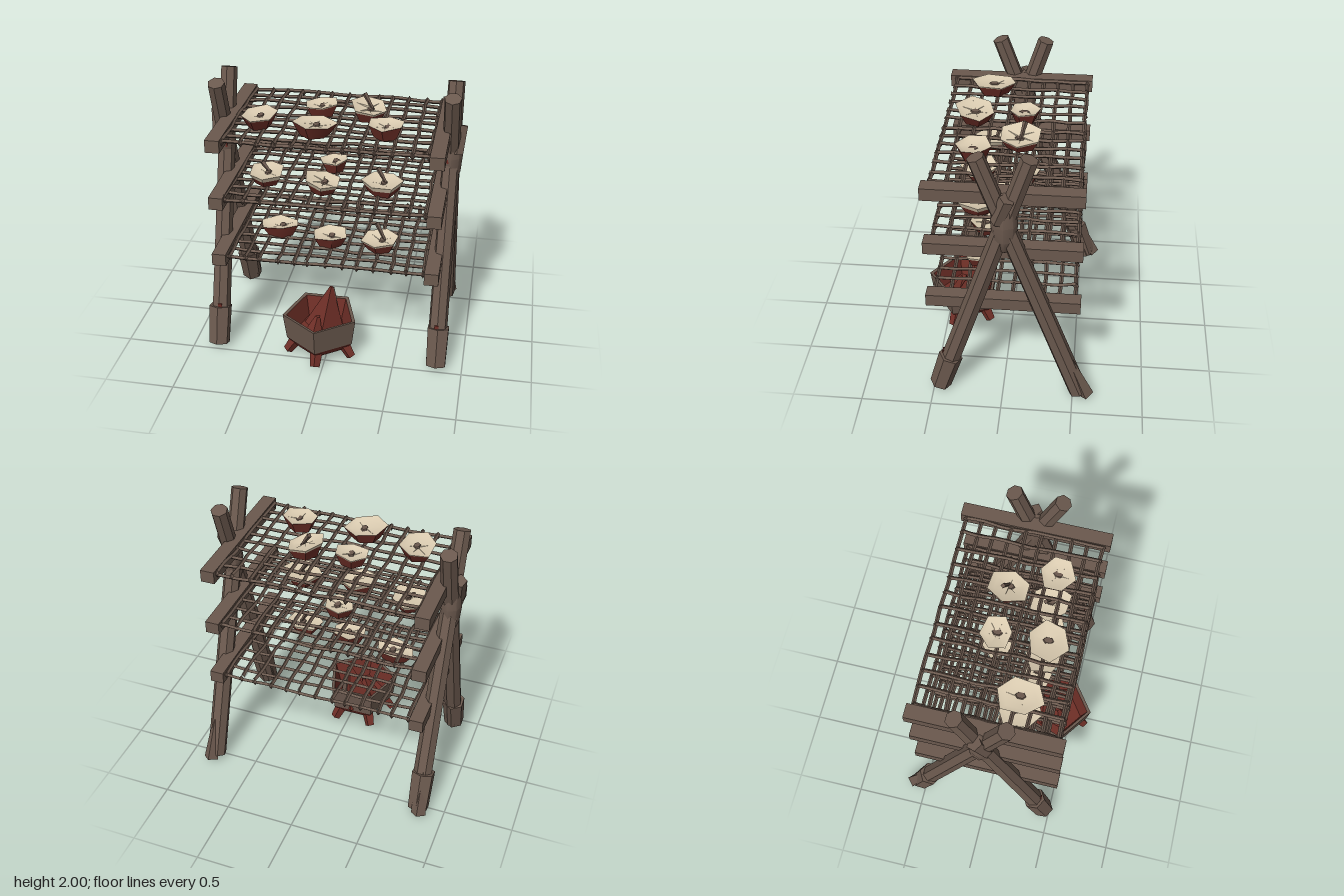
import * as THREE from 'three';
import { toCreasedNormals } from 'three/addons/utils/BufferGeometryUtils.js';

const mat = (name, color, side = THREE.FrontSide) => {
  const m = new THREE.MeshStandardMaterial({ color, side });
  m.name = name;
  return m;
};
const V = (x, y, z) => new THREE.Vector3(x, y, z);

export function createModel() {
  const wood = mat('wood', 0x6b594e);
  const clay = mat('red clay', 0x6f2f27, THREE.DoubleSide);
  const potSkin = mat('pot brown', 0x6b594e, THREE.DoubleSide);
  const cream = mat('cream', 0xdccdb2, THREE.DoubleSide);

  const root = new THREE.Group();
  root.name = 'dryingRack';
  let seed = 7;
  const rnd = () => ((seed = (seed * 16807) % 2147483647) / 2147483647) * 2 - 1;

  const add = (parent, name, geo, material) => {
    const m = new THREE.Mesh(toCreasedNormals(geo, 0.8), material);
    m.name = name;
    parent.add(m);
    return m;
  };
  // Tapered pole from a to b
  const pole = (parent, name, a, b, ra, rb, sides, material) => {
    const m = add(parent, name, new THREE.CylinderGeometry(rb, ra, a.distanceTo(b), sides), material);
    m.position.copy(a).add(b).multiplyScalar(0.5);
    m.quaternion.setFromUnitVectors(V(0, 1, 0), b.clone().sub(a).normalize());
    return m;
  };

  // Crossed leg frames with flared feet and a bulging joint
  const frontLeg = y => 0.46 - 0.32 * y;
  const backLeg = y => -0.55 + 0.36 * y;
  for (const s of [-1, 1]) {
    const frame = new THREE.Group();
    frame.name = s > 0 ? 'leftFrame' : 'rightFrame';
    root.add(frame);
    for (const [name, f] of [['frontLeg', frontLeg], ['backLeg', backLeg]]) {
      pole(frame, name, V(s * 0.807, 0.025, f(0.025)), V(s * 0.81, 1.98, f(1.98)), 0.07, 0.06, 7, wood);
      if (name === 'frontLeg' || s < 0)
        pole(frame, name + 'Foot', V(s * 0.812, 0.025, f(0.02)), V(s * 0.812, 0.3, f(0.28)), 0.078, 0.086, 6, wood);
    }
    pole(frame, 'footSplinter', V(s * 0.83, 0.015, -0.6), V(s * 0.82, 0.38, -0.45), 0.055, 0.02, 4, wood);
    const joint = add(frame, 'joint', new THREE.SphereGeometry(1, 8, 6), wood);
    joint.scale.set(0.075, 0.24, 0.09);
    joint.position.set(s * 0.815, 1.49, -0.015);
    pole(frame, 'jointKnot', V(s * 0.85, 1.52, 0.03), V(s * 0.86, 1.71, -0.04), 0.045, 0.055, 5, wood);
    // Small red stains on the leg faces
    for (const y of [0.33, 1.47]) {
      const stain = add(frame, 'stain', new THREE.BoxGeometry(0.03, 0.03, 0.008), clay);
      stain.position.set(s * 0.8, y, frontLeg(y) + 0.07);
    }
  }

  // Lattice shelves on side beams
  const shelfY = [0.80, 1.255, 1.69];
  const strand = (parent, name, a, b) => {
    const pts = [];
    for (let i = 0; i <= 8; i++)
      pts.push(a.clone().lerp(b, i / 8).add(V(rnd() * 0.007, rnd() * 0.009, rnd() * 0.007)));
    add(parent, name, new THREE.TubeGeometry(new THREE.CatmullRomCurve3(pts), 16, 0.014, 4), wood);
  };
  shelfY.forEach((y, k) => {
    const shelf = new THREE.Group();
    shelf.name = ['lowerShelf', 'middleShelf', 'upperShelf'][k];
    root.add(shelf);
    const beamY = [0.79, 1.238, 1.67][k];
    for (const s of [-1, 1]) {
      const beam = add(shelf, 'sideBeam', new THREE.BoxGeometry(0.1, 0.09, 1.06), wood);
      beam.position.set(s * 0.752, beamY, 0);
      // Stained underside
      const stain = add(shelf, 'beamStain', new THREE.BoxGeometry(0.06, 0.004, 0.3), clay);
      stain.position.set(s * 0.75, beamY - 0.046, 0.36);
    }
    const nz = 10, nx = 13;
    for (let i = 0; i < nz; i++) {
      const z = -0.49 + (0.97 * i) / (nz - 1);
      strand(shelf, 'longStrand', V(-0.73, y, z), V(0.73, y, z));
    }
    for (let i = 0; i < nx; i++) {
      const x = -0.69 + (1.38 * i) / (nx - 1) + rnd() * 0.012;
      strand(shelf, 'crossStrand', V(x, y + 0.008, -0.49), V(x, y + 0.008, 0.49));
      // Pointed knots along both edges
      for (const z of [-0.49, 0.48]) {
        const knot = add(shelf, 'knot', new THREE.OctahedronGeometry(0.02), wood);
        knot.scale.y = 1.5;
        knot.position.set(x, y - 0.002, z);
      }
    }
  });

  // Irregular bowl: clay wall, cream upper band, sunken cream filling with a dark core
  const bowl = (shelf, x, z, rx, rz, tilt, band, stick) => {
    const g = new THREE.Group();
    g.name = 'bowl';
    g.position.set(x, shelfY[shelf] + 0.012, z);
    root.add(g);
    const n = 6, h = 0.09, turn = rnd();
    const rim = Array.from({ length: n }, () => [1 + rnd() * 0.1, h + rnd() * 0.012]);
    // Ring point at height fraction t and radial fraction r
    const ringPoint = (i, t, r) => {
      const [k, top] = rim[i % n], a = turn + (i / n) * Math.PI * 2;
      const c = Math.cos(a), s = Math.sin(a);
      return [c * rx * r * k, t * (top + tilt * c), s * rz * r * k];
    };
    const loft = (name, rings, material) => {
      const pos = [];
      for (let j = 0; j + 1 < rings.length; j++)
        for (let i = 0; i < n; i++) {
          const a = ringPoint(i, ...rings[j]), b = ringPoint(i + 1, ...rings[j]);
          const c = ringPoint(i, ...rings[j + 1]), d = ringPoint(i + 1, ...rings[j + 1]);
          pos.push(...a, ...c, ...b, ...b, ...c, ...d);
        }
      const geo = new THREE.BufferGeometry();
      geo.setAttribute('position', new THREE.Float32BufferAttribute(pos, 3));
      geo.computeVertexNormals();
      return add(g, name, geo, material);
    };
    const split = 1 - band;
    loft('bowlWall', [[0, 0], [0, 0.66], [split, 0.66 + 0.34 * split]], clay);
    if (band > 0) loft('bowlBand', [[split, 0.66 + 0.34 * split], [1, 1]], cream);
    loft('filling', [[1, 1], [0.86, 0.7], [0.72, 0]], cream);
    const core = add(g, 'core', new THREE.CylinderGeometry(0.022, 0.026, 0.012, 6), wood);
    core.scale.z = 1.5;
    core.position.set(0.01, h * 0.8, 0);
    if (stick) pole(g, 'stick', V(0.03, 0.06, 0), V(-0.04, stick, -0.03), 0.009, 0.018, 4, wood);
  };
  [
    [2, -0.51, 0.18, 0.13, 0.17, 0.01, 0.1, 0],
    [2, -0.10, 0.27, 0.15, 0.14, -0.005, 0, 0],
    [2, -0.12, -0.07, 0.12, 0.11, 0.01, 0.1, 0],
    [2, 0.22, -0.07, 0.13, 0.15, -0.02, 0.2, 0.17],
    [2, 0.38, 0.23, 0.14, 0.12, 0.005, 0, 0],
    [1, -0.47, 0.17, 0.13, 0.17, 0.01, 0.4, 0.13],
    [1, -0.05, 0.25, 0.14, 0.14, -0.01, 0.35, 0],
    [1, -0.03, -0.09, 0.11, 0.11, 0.01, 0.1, 0],
    [1, 0.36, 0.2, 0.14, 0.15, 0.01, 0.4, 0.17],
    [0, -0.39, 0.11, 0.15, 0.11, 0, 0, 0],
    [0, -0.01, 0.2, 0.14, 0.13, 0, 0, 0],
    [0, 0.36, 0.2, 0.14, 0.13, 0.01, 0.2, 0.19],
  ].forEach(b => bowl(...b));

  // Five-sided pot on splayed feet
  const pot = new THREE.Group();
  pot.name = 'pot';
  pot.position.set(-0.05, 0, 0.37);
  root.add(pot);
  const lathe = (name, pts, material) =>
    add(pot, name, new THREE.LatheGeometry(pts.map(p => new THREE.Vector2(...p)), 5), material);
  lathe('potBase', [[0, 0.06], [0.2, 0.065], [0.255, 0.13]], clay);
  lathe('potWall', [[0.255, 0.13], [0.282, 0.33], [0.255, 0.325]], potSkin);
  lathe('potInside', [[0.255, 0.325], [0.21, 0.17], [0, 0.15]], clay);
  for (let i = 0; i < 5; i++) {
    const a = (i / 5) * Math.PI * 2, c = Math.sin(a), d = Math.cos(a);
    pole(pot, 'potFoot', V(c * 0.25, 0.015, d * 0.25), V(c * 0.19, 0.1, d * 0.19), 0.035, 0.045, 4, clay);
  }
  // Jagged lump standing inside the pot
  pole(pot, 'lump', V(0.01, 0.15, -0.08), V(0.06, 0.49, -0.1), 0.15, 0.012, 4, clay);
  pole(pot, 'lumpHandle', V(0.08, 0.16, -0.1), V(0.07, 0.48, -0.11), 0.06, 0.01, 4, wood);
  pole(pot, 'smallLump', V(-0.05, 0.15, 0.04), V(-0.02, 0.3, 0.02), 0.08, 0.02, 5, clay);

  return root;
}
